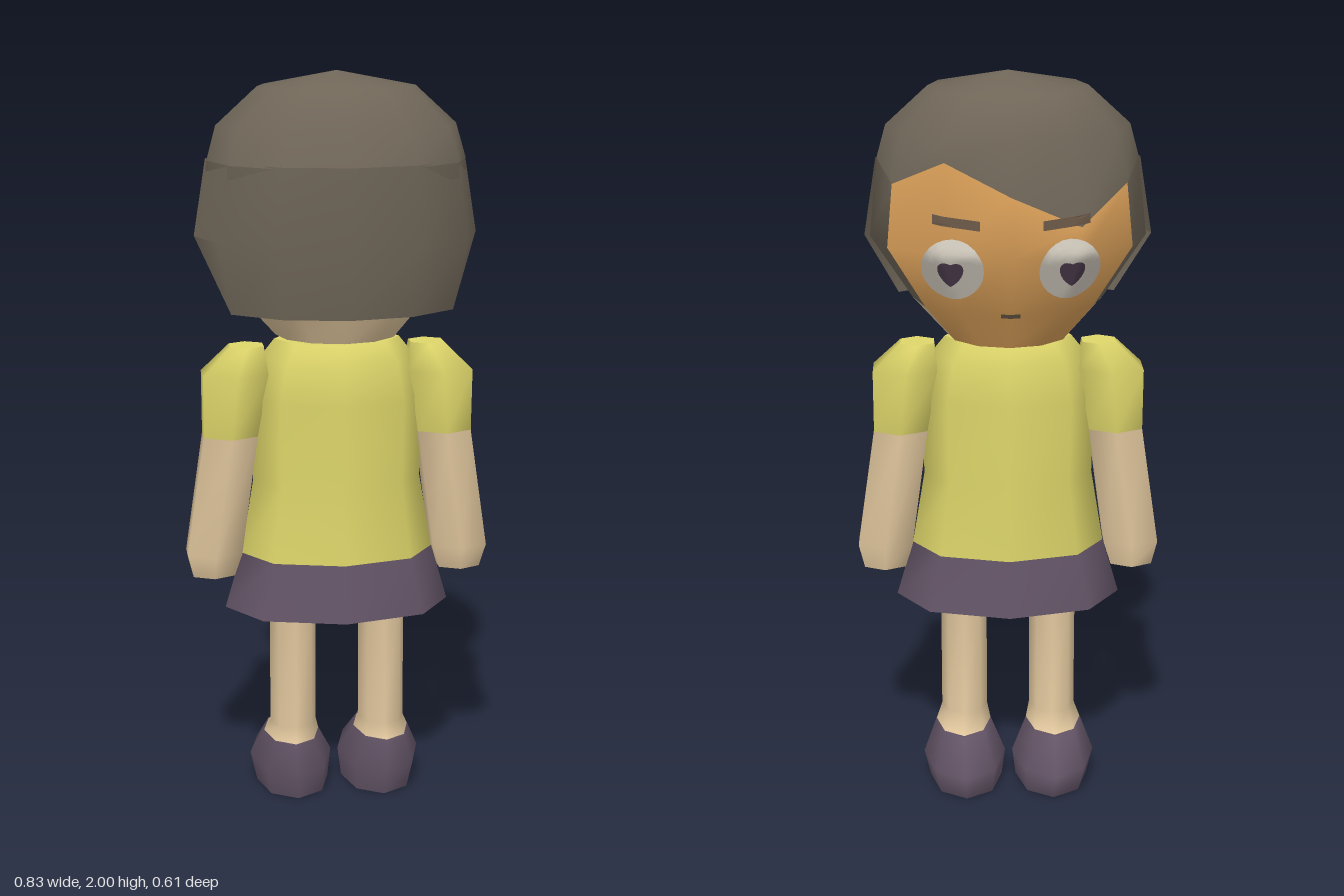
import * as THREE from 'three';

const mat = (name, color, side = THREE.FrontSide) => {
  const m = new THREE.MeshStandardMaterial({ color, side });
  m.name = name;
  return m;
};

// Skin a grid of points (rows from top to bottom, columns turning from +z to +x)
function gridGeometry(rows, capBottom = false, capTop = false) {
  const n = rows[0].length, pos = rows.flat(2), idx = [];
  for (let r = 0; r < rows.length - 1; r++) {
    for (let c = 0; c < n - 1; c++) {
      const a = r * n + c, b = a + 1, d = a + n, e = d + 1;
      idx.push(a, d, b, b, d, e);
    }
  }
  const cap = (row, down) => {
    const s = pos.length / 3;
    pos.push(...row.flat());
    for (let i = 1; i < n - 2; i++) idx.push(s, ...(down ? [s + i + 1, s + i] : [s + i, s + i + 1]));
  };
  if (capBottom) cap(rows[rows.length - 1], true);
  if (capTop) cap(rows[0], false);
  const g = new THREE.BufferGeometry();
  g.setAttribute('position', new THREE.Float32BufferAttribute(pos, 3));
  g.setIndex(idx);
  g.computeVertexNormals();
  // Share the normals where a closed loop meets itself
  const nor = g.attributes.normal, v = new THREE.Vector3(), w = new THREE.Vector3();
  rows.forEach((row, r) => {
    const i = r * n, j = i + n - 1;
    if (Math.hypot(...row[0].map((p, k) => p - row[n - 1][k])) > 1e-5) return;
    v.fromBufferAttribute(nor, i).add(w.fromBufferAttribute(nor, j)).normalize();
    nor.setXYZ(i, v.x, v.y, v.z);
    nor.setXYZ(j, v.x, v.y, v.z);
  });
  return g;
}

// Loft through sections [y, xMin, xMax, zBack, zFront] with n sides
function loft(sections, n, capBottom, capTop) {
  const wide = n === 6 ? Math.sin(Math.PI / 3) : 1;
  return gridGeometry(sections.map(([y, x0, x1, zb, zf]) =>
    Array.from({ length: n + 1 }, (_, i) => {
      const a = (i / n) * Math.PI * 2;
      return [(x0 + x1) / 2 + (x1 - x0) / 2 / wide * Math.sin(a), y,
        (zb + zf) / 2 + (zb - zf) / 2 * Math.cos(a)];
    })), capBottom, capTop);
}

// Head profile: y, half width, z of back, z of face
const HEAD = [
  [2.0, 0, 0.01, 0.01], [1.96, 0.21, 0.21, -0.19], [1.86, 0.32, 0.27, -0.25],
  [1.77, 0.345, 0.305, -0.265], [1.57, 0.365, 0.28, -0.305],
  [1.4, 0.255, 0.215, -0.215], [1.3, 0.165, 0.165, -0.16],
];
function headRing(y) {
  let i = 0;
  while (i < HEAD.length - 2 && HEAD[i + 1][0] > y) i++;
  const t = (HEAD[i][0] - y) / (HEAD[i][0] - HEAD[i + 1][0]);
  const [, rx, zb, zf] = HEAD[i].map((v, k) => v + (HEAD[i + 1][k] - v) * t);
  return { rx, rz: (zb - zf) / 2, cz: (zb + zf) / 2 };
}
function headPoint(deg, y) {
  const { rx, rz, cz } = headRing(y), a = deg * Math.PI / 180;
  return [rx * Math.sin(a), y, cz + rz * Math.cos(a)];
}
// z of the faceted face at (x, y)
function faceZ(x, y) {
  for (let d = 120; d < 240; d += 30) {
    const p = headPoint(d, y), q = headPoint(d + 30, y);
    if (x <= p[0] && x >= q[0]) return p[2] + (q[2] - p[2]) * (p[0] - x) / (p[0] - q[0]);
  }
  return headPoint(120, y)[2];
}
// Thin painted shape laid on the face; warp bends the unit disc
function decal(cx, cy, sx, sy, lift, warp = (x, y) => [x, y]) {
  const g = new THREE.RingGeometry(0.001, 1, 24, 5), p = g.attributes.position;
  for (let i = 0; i < p.count; i++) {
    const [u, v] = warp(p.getX(i), p.getY(i));
    const x = cx - u * sx, y = cy + v * sy;
    p.setXYZ(i, x, y, faceZ(x, y) - lift);
  }
  g.computeVertexNormals();
  return g;
}

export function createModel() {
  const hair = mat('hair brown', 0x6f6658, THREE.DoubleSide);
  const face = mat('face tan', 0xd89e58);
  const skin = mat('skin beige', 0xdfc59c);
  const shirt = mat('shirt yellow', 0xddd56a);
  const purple = mat('skirt purple', 0x635466);
  const white = mat('eye white', 0xd6cfc2);
  const dark = mat('pupil purple', 0x503f52);
  const brow = mat('brow brown', 0x665544);

  const model = new THREE.Group();
  const add = (name, geometry, material, parent = model) => {
    const m = new THREE.Mesh(geometry, material);
    m.name = name;
    parent.add(m);
    return m;
  };

  // Head: hair cap with a side parting, face, and lower head
  const head = new THREE.Group();
  head.name = 'head';
  model.add(head);
  const hairline = { 120: 1.73, 150: 1.8, 180: 1.72, 210: 1.64, 240: 1.73 };
  const around = (from, to) => Array.from({ length: (to - from) / 30 + 1 }, (_, i) => from + i * 30);
  const patch = (cols, ys) => gridGeometry(ys.map(y =>
    cols.map(d => headPoint(d, y === 'line' ? hairline[d % 360] ?? 1.77 : y))));
  const faceCols = around(120, 240), sideCols = around(240, 480);
  add('hairCap', patch(around(0, 360), [2, 1.96, 1.86, 'line']), hair, head);
  add('sideHair', patch(sideCols, ['line', 1.57, 1.4]), hair, head);
  add('face', patch(faceCols, ['line', 1.57, 1.4, 1.3]), face, head);
  add('lowerHead', patch(sideCols, [1.4, 1.3]), skin, head);
  add('headUnderside', loft([[1.301, -0.16, 0.16, 0.16, -0.155], [1.3, -0.165, 0.165, 0.165, -0.16]], 12, true), skin, head);

  // Flared back hair, cut diagonally at both sides
  const flare = [[1.775, 0.347, 0.308], [1.57, 0.38, 0.3], [1.38, 0.34, 0.265]];
  const flarePoint = ([y, rx, rz], d) => {
    const a = d * Math.PI / 180;
    return [rx * Math.sin(a), y, rz * Math.cos(a)];
  };
  add('backHair', gridGeometry(flare.map((f, r) => around(-90, 90).map(d =>
    flarePoint(r === 2 && Math.abs(d) === 90 ? flare[1] : f, d)))), hair, head);

  // Eyes, brows and mouth
  const heart = (x, y) => [x, y * 0.9 + Math.abs(x) * 0.5 - 0.1];
  const bar = (x, y) => {
    const k = Math.hypot(x, y) / Math.max(Math.abs(x), Math.abs(y), 1e-6);
    return [x * k, y * k];
  };
  for (const [side, s] of [['left', 1], ['right', -1]]) {
    add(side + 'Eye', decal(s * 0.15, 1.53, 0.08, 0.085, 0.005), white, head);
    add(side + 'Pupil', decal(s * 0.155, 1.52, 0.033, 0.036, 0.009, heart), dark, head);
    add(side + 'Brow', decal(s * 0.14, 1.655, 0.06, 0.012, 0.006,
      (x, y) => { const [u, v] = bar(x, y); return [u, v - s * u * 0.5]; }), brow, head);
  }
  add('mouth', decal(0, 1.4, 0.025, 0.006, 0.005, bar), brow, head);

  // Shirt and skirt
  add('shirt', loft([
    [1.29, -0.17, 0.17, 0.13, -0.11], [1.24, -0.21, 0.21, 0.165, -0.14],
    [1.13, -0.235, 0.235, 0.175, -0.15], [0.9, -0.23, 0.23, 0.165, -0.145],
    [0.69, -0.265, 0.265, 0.18, -0.15],
  ], 8, false, true), shirt);
  add('skirt', loft([[0.695, -0.265, 0.265, 0.182, -0.152], [0.54, -0.31, 0.31, 0.21, -0.18]], 8, true), purple);

  // Arms and legs, mirrored about x = 0
  const mirror = (sections, s) => sections.map(([y, a, b, zb, zf]) => s > 0 ? [y, a, b, zb, zf] : [y, -b, -a, zb, zf]);
  const parts = [
    ['Sleeve', shirt, 6, [[1.275, 0.2, 0.29, 0.06, -0.04], [1.2, 0.19, 0.365, 0.11, -0.082],
      [1.03, 0.22, 0.365, 0.088, -0.062]]],
    ['Forearm', skin, 6, [[1.03, 0.22, 0.365, 0.088, -0.062], [0.7, 0.265, 0.414, 0.082, -0.06],
      [0.635, 0.285, 0.398, 0.06, -0.05]]],
    ['Leg', skin, 8, [[0.56, 0.06, 0.188, 0.09, -0.06], [0.2, 0.06, 0.188, 0.09, -0.06],
      [0.16, 0.05, 0.205, 0.115, -0.13]]],
    ['Shoe', purple, 8, [[0.162, 0.05, 0.205, 0.12, -0.135], [0.08, 0.01, 0.24, 0.137, -0.23],
      [0, 0.02, 0.222, 0.112, -0.19]]],
  ];
  for (const [side, s] of [['left', 1], ['right', -1]]) {
    for (const [name, material, n, sections] of parts) {
      add(side + name, loft(mirror(sections, s), n, name !== 'Leg', name === 'Sleeve' || name === 'Shoe'), material);
    }
  }
  return model;
}
